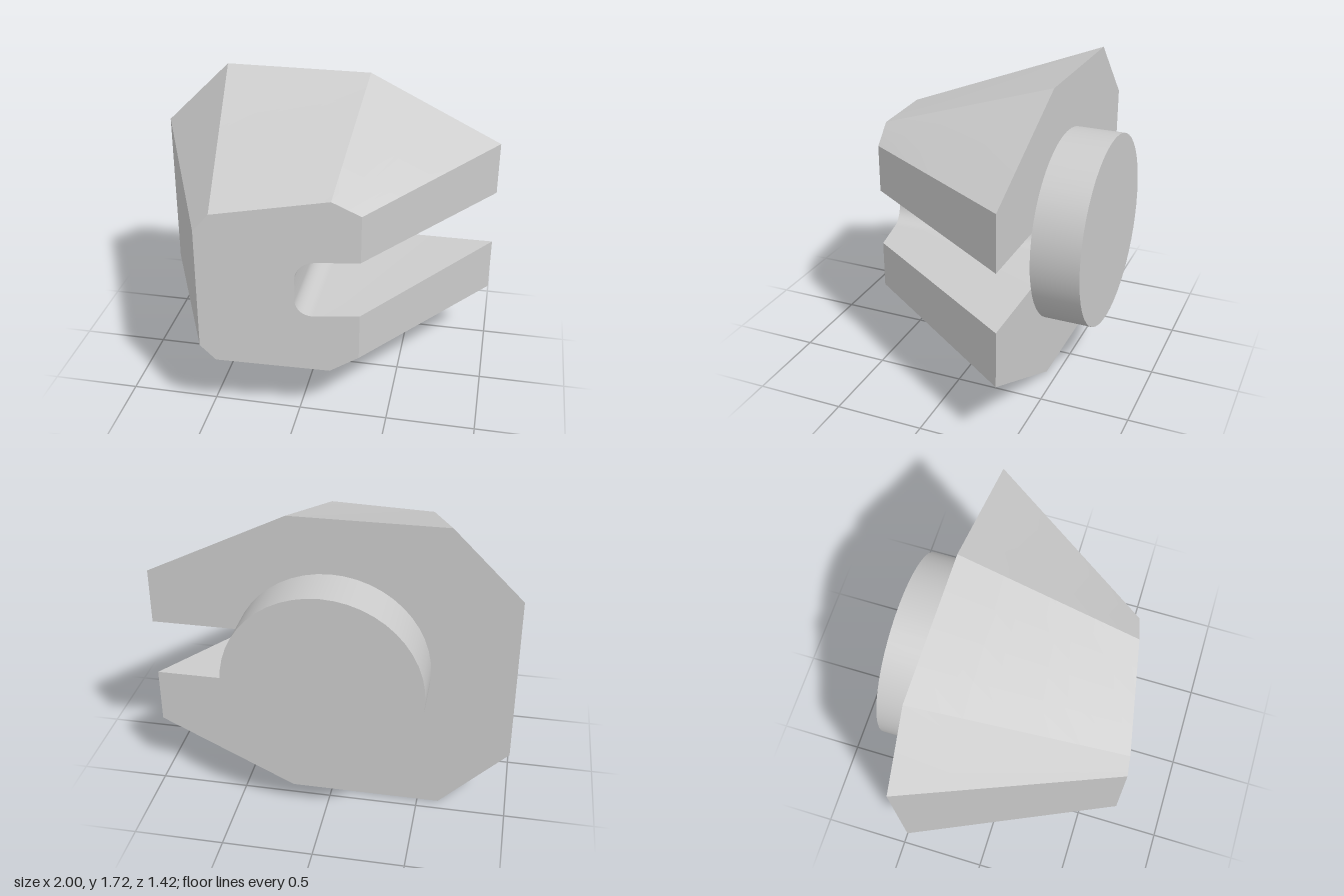
import * as THREE from 'three';
import { toCreasedNormals } from 'three/addons/utils/BufferGeometryUtils.js';

const BACK_Z = -0.437;
const MID_Y = 0.865;
const SLOT_HALF = 0.165;
const SLOT_CORNER = 0.1;

// The front face is a slanted plane
const frontZ = (x) => 0.611 - 0.194 * x;

// Outline of the block, counter-clockwise from the front: eight corners, then the slot
function outline(corners, mouthX) {
  const pts = corners.map(([x, y]) => [x, y]);
  const steps = 10;
  pts.push([mouthX, MID_Y - SLOT_HALF]);
  for (const side of [-1, 1]) {
    for (let i = 0; i <= steps; i++) {
      const t = (side < 0 ? i : steps - i) / steps * Math.PI / 2;
      pts.push([
        SLOT_CORNER - SLOT_CORNER * Math.sin(t),
        MID_Y + side * (SLOT_HALF - SLOT_CORNER + SLOT_CORNER * Math.cos(t)),
      ]);
    }
  }
  pts.push([mouthX, MID_Y + SLOT_HALF]);
  return pts.map(([x, y]) => new THREE.Vector2(x, y));
}

// Loft between the back and front outlines, with both ends capped
function blockGeometry() {
  const back2 = outline([
    [1, 1.343], [0.23, 1.722], [-0.62, 1.722], [-1, 1.343],
    [-1, 0.385], [-0.62, 0.005], [0.23, 0.005], [1, 0.385],
  ], 1);
  const front2 = outline([
    [0.342, 1.3], [0.187, 1.385], [-0.427, 1.312], [-0.51, 1.22],
    [-0.51, 0.512], [-0.427, 0.417], [0.187, 0.343], [0.342, 0.43],
  ], 0.342);
  const back = back2.map((p) => new THREE.Vector3(p.x, p.y, BACK_Z));
  const front = front2.map((p) => new THREE.Vector3(p.x, p.y, frontZ(p.x)));
  const pos = [];
  const tri = (a, b, c) => pos.push(...a, ...b, ...c);

  // Side walls; the slightly twisted outer ones are divided into a grid
  const n = back.length;
  for (let i = 0; i < n; i++) {
    const j = (i + 1) % n;
    const div = i < 7 ? 4 : 1;
    const at = (u, v) => back[i].clone().lerp(back[j], u / div)
      .lerp(front[i].clone().lerp(front[j], u / div), v / div);
    for (let u = 0; u < div; u++) {
      for (let v = 0; v < div; v++) {
        const a = at(u, v), b = at(u + 1, v), c = at(u + 1, v + 1), d = at(u, v + 1);
        tri(a, b, c);
        tri(a, c, d);
      }
    }
  }

  // End caps
  for (const [a, b, c] of THREE.ShapeUtils.triangulateShape(front2, [])) tri(front[a], front[b], front[c]);
  for (const [a, b, c] of THREE.ShapeUtils.triangulateShape(back2, [])) tri(back[c], back[b], back[a]);

  const geo = new THREE.BufferGeometry();
  geo.setAttribute('position', new THREE.Float32BufferAttribute(pos, 3));
  return toCreasedNormals(geo, 0.3);
}

export function createModel() {
  const group = new THREE.Group();
  group.name = 'slottedKnob';
  const material = new THREE.MeshStandardMaterial({ color: 0xcccccc });

  const block = new THREE.Mesh(blockGeometry(), material);
  block.name = 'slottedBlock';
  group.add(block);

  // Round boss on the back
  const depth = 0.273;
  const bossGeo = new THREE.CylinderGeometry(0.546, 0.546, depth, 48);
  bossGeo.rotateX(Math.PI / 2);
  const boss = new THREE.Mesh(bossGeo, material);
  boss.name = 'backBoss';
  boss.position.set(0, MID_Y, BACK_Z - depth / 2);
  group.add(boss);

  return group;
}
